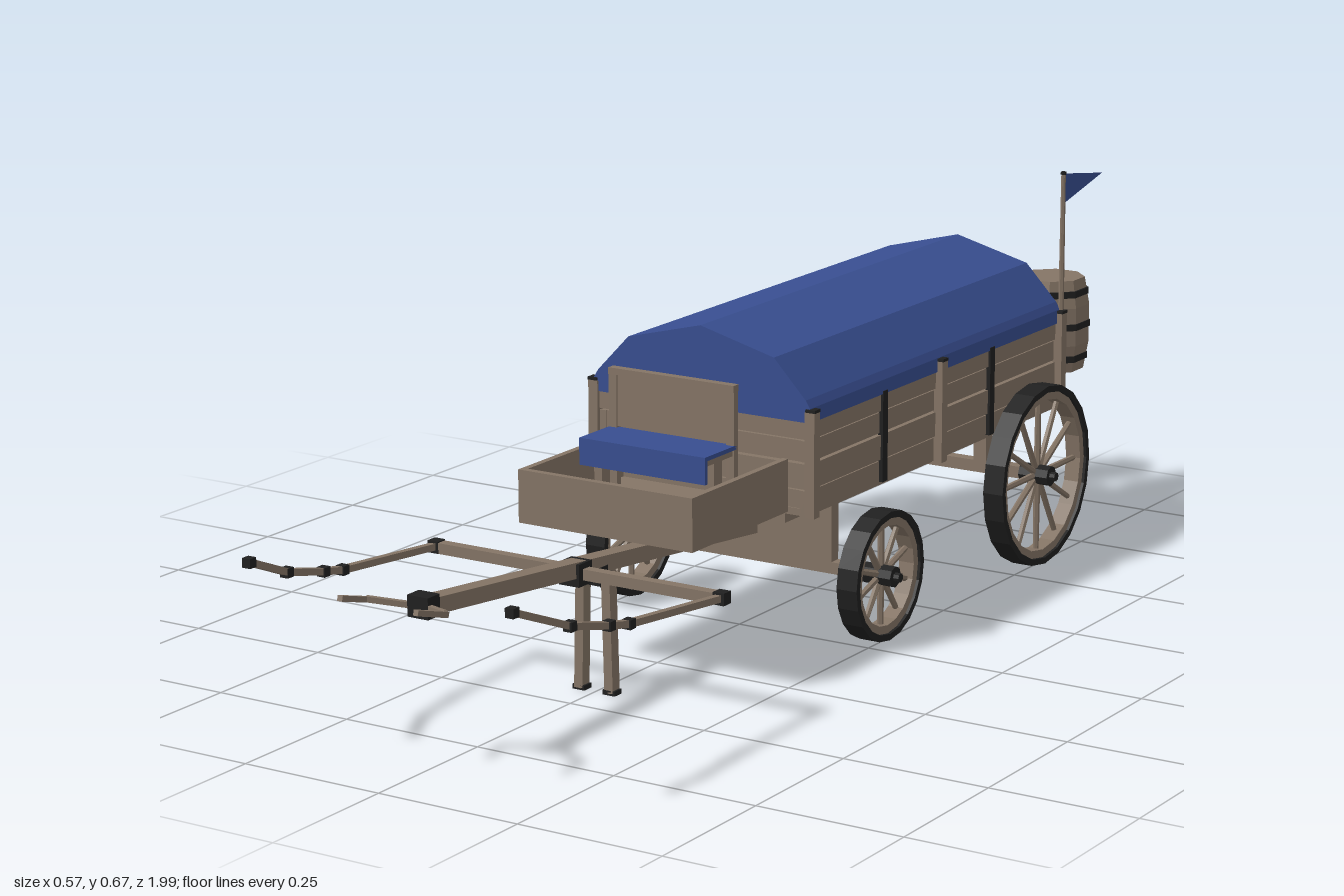
import * as THREE from 'three';

const material = (name, color) => {
  const m = new THREE.MeshStandardMaterial({ color });
  m.name = name;
  return m;
};

export function createModel() {
  const wood = material('wood', 0x857566);
  const iron = material('iron', 0x202020);
  const cloth = material('blue cloth', 0x384e90);
  const flagCloth = material('flag cloth', 0x384e90);
  flagCloth.side = THREE.DoubleSide;

  const model = new THREE.Group();
  model.name = 'wagon';
  const V = (x, y, z) => new THREE.Vector3(x, y, z);

  const group = (name, parent = model) => {
    const g = new THREE.Group();
    g.name = name;
    parent.add(g);
    return g;
  };
  // Faceted mesh
  const add = (parent, name, geometry, mat) => {
    const geo = geometry.index ? geometry.toNonIndexed() : geometry;
    geo.computeVertexNormals();
    const mesh = new THREE.Mesh(geo, mat);
    mesh.name = name;
    parent.add(mesh);
    return mesh;
  };
  // Box given by its limits on each axis
  const box = (parent, name, mat, [x0, x1], [y0, y1], [z0, z1]) => {
    const mesh = add(parent, name, new THREE.BoxGeometry(x1 - x0, y1 - y0, z1 - z0), mat);
    mesh.position.set((x0 + x1) / 2, (y0 + y1) / 2, (z0 + z1) / 2);
    return mesh;
  };
  const block = (parent, name, mat, p, w, h, d) => {
    const mesh = add(parent, name, new THREE.BoxGeometry(w, h, d), mat);
    mesh.position.copy(p);
    return mesh;
  };
  // Square beam between two points
  const beam = (parent, name, mat, a, b, w, h = w) => {
    const mesh = add(parent, name, new THREE.BoxGeometry(w, h, a.distanceTo(b)), mat);
    mesh.position.copy(a).lerp(b, 0.5);
    mesh.lookAt(b);
    return mesh;
  };
  // Ring with a rectangular section, turned about y
  const ring = (ri, ro, h, n) => new THREE.LatheGeometry(
    [[ri, -h], [ro, -h], [ro, h], [ri, h], [ri, -h]].map(p => new THREE.Vector2(...p)), n);
  const sides = [-1, 1];
  const span = (s, a, b) => (s > 0 ? [a, b] : [-b, -a]);

  // Wagon bed: floor, planked walls, posts and straps
  const bed = group('bed');
  box(bed, 'floor', wood, [-0.2, 0.2], [0.243, 0.255], [-0.73, 0.115]);
  for (const [y0, y1, t] of [[0.245, 0.285, 0], [0.288, 0.33, 0.003], [0.333, 0.368, 0], [0.371, 0.408, 0.003]]) {
    for (const s of sides) box(bed, 'sidePlank', wood, span(s, 0.188, 0.202 + t), [y0, y1], [-0.73, 0.115]);
    box(bed, 'frontPlank', wood, [-0.2, 0.2], [y0, y1], [0.1, 0.113 + t]);
    box(bed, 'rearPlank', wood, [-0.2, 0.2], [y0, y1], [-0.728 - t, -0.715]);
  }
  for (const s of sides) {
    for (const z of [0.113, -0.303, -0.73]) {
      box(bed, 'post', wood, span(s, 0.2, 0.218), [0.243, 0.418], [z - 0.009, z + 0.009]);
      box(bed, 'postCap', iron, span(s, 0.201, 0.219), [0.418, 0.423], [z - 0.009, z + 0.009]);
    }
    for (const z of [-0.12, -0.485])
      box(bed, 'strap', iron, span(s, 0.2, 0.209), [0.25, 0.405], [z - 0.008, z + 0.008]);
    box(bed, 'sill', wood, span(s, 0.125, 0.15), [0.222, 0.245], [-0.72, 0.1]);
  }

  // Canvas cover
  const half = [[0.208, 0.4], [0.208, 0.424], [0.2, 0.437], [0.14, 0.5]];
  const outline = [...half, [0, 0.536], ...half.map(([x, y]) => [-x, y]).reverse()];
  const cover = add(model, 'canvasCover', new THREE.ExtrudeGeometry(
    new THREE.Shape(outline.map(p => new THREE.Vector2(...p))), { depth: 0.85, bevelEnabled: false }), cloth);
  cover.position.z = -0.731;

  // Driver's box and bench
  const driver = group('driverBox');
  box(driver, 'footboard', wood, [-0.162, 0.162], [0.247, 0.26], [0.115, 0.395]);
  box(driver, 'frontBoard', wood, [-0.165, 0.165], [0.247, 0.335], [0.388, 0.4]);
  for (const s of sides) {
    box(driver, 'sideBoard', wood, span(s, 0.154, 0.165), [0.247, 0.335], [0.115, 0.39]);
    box(driver, 'benchLeg', wood, span(s, 0.1, 0.115), [0.26, 0.36], [0.235, 0.258]);
    box(driver, 'backrestPost', wood, span(s, 0.105, 0.12), [0.26, 0.468], [0.195, 0.207]);
  }
  box(driver, 'bench', wood, [-0.117, 0.117], [0.353, 0.363], [0.2, 0.285]);
  box(driver, 'seatCloth', cloth, [-0.12, 0.12], [0.363, 0.37], [0.2, 0.293]);
  box(driver, 'seatFlap', cloth, [-0.12, 0.12], [0.325, 0.365], [0.286, 0.293]);
  box(driver, 'backrest', wood, [-0.107, 0.107], [0.372, 0.462], [0.195, 0.204]);
  box(driver, 'backrestRail', wood, [-0.12, 0.12], [0.458, 0.469], [0.193, 0.208]);

  // Running gear
  const gear = group('runningGear');
  box(gear, 'bolster', wood, [-0.158, 0.158], [0.105, 0.245], [-0.056, -0.034]);
  box(gear, 'frontAxle', wood, [-0.225, 0.225], [0.104, 0.124], [-0.056, -0.034]);
  box(gear, 'rearAxle', wood, [-0.225, 0.225], [0.152, 0.173], [-0.596, -0.574]);
  for (const s of sides) box(gear, 'axleBlock', wood, span(s, 0.125, 0.15), [0.17, 0.225], [-0.596, -0.574]);

  // Wheels
  const wheel = (name, s, y, z, r, spokes) => {
    const w = group(name);
    w.position.set(s * 0.246, y, z);
    w.rotation.z = -s * Math.PI / 2;
    add(w, 'tyre', ring(r - 0.011, r, 0.019, 20), iron);
    add(w, 'rim', ring(r - 0.025, r - 0.01, 0.014, 20), wood);
    add(w, 'hub', new THREE.CylinderGeometry(0.018, 0.018, 0.056, 8), iron);
    const cap = add(w, 'hubCap', new THREE.CylinderGeometry(0.008, 0.008, 0.012, 8), iron);
    cap.position.y = 0.032;
    for (let i = 0; i < spokes; i++) {
      const a = i / spokes * Math.PI * 2;
      const d = V(Math.cos(a), 0, Math.sin(a));
      const spoke = add(w, 'spoke', new THREE.CylinderGeometry(0.005, 0.006, r - 0.03, 6), wood);
      spoke.position.copy(d).multiplyScalar(r / 2);
      spoke.quaternion.setFromUnitVectors(V(0, 1, 0), d);
    }
  };
  for (const s of sides) {
    wheel('frontWheel', s, 0.114, -0.045, 0.11, 10);
    wheel('rearWheel', s, 0.162, -0.585, 0.16, 12);
  }

  // Draught pole with its forked tip
  const hitch = group('hitch');
  beam(hitch, 'draughtPole', wood, V(0, 0.165, -0.04), V(0, 0.258, 0.885), 0.028, 0.026);
  block(hitch, 'poleTip', iron, V(0, 0.259, 0.88), 0.038, 0.034, 0.03);
  block(hitch, 'crossbarClamp', iron, V(0, 0.211, 0.482), 0.038, 0.037, 0.036);
  block(hitch, 'legBracket', iron, V(0, 0.193, 0.425), 0.03, 0.03, 0.024);
  beam(hitch, 'crossbar', wood, V(-0.27, 0.211, 0.48), V(0.27, 0.211, 0.48), 0.018);
  for (const s of sides) {
    beam(hitch, 'prop', wood, V(s * 0.029, 0.003, 0.425), V(s * 0.024, 0.2, 0.425), 0.02, 0.016);
    block(hitch, 'propFoot', iron, V(s * 0.029, 0.004, 0.425), 0.023, 0.008, 0.02);
    beam(hitch, 'forkArm', wood, V(s * 0.012, 0.258, 0.885), V(s * 0.072, 0.269, 0.925), 0.009);
    beam(hitch, 'forkTine', wood, V(s * 0.073, 0.267, 0.922), V(s * 0.069, 0.287, 0.992), 0.009);

    // Side shafts with iron joints
    const path = [[0.27, 0.212, 0.48], [0.266, 0.235, 0.73], [0.264, 0.245, 0.78], [0.26, 0.268, 0.875], [0.239, 0.315, 0.99]]
      .map(([x, y, z]) => V(s * x, y, z));
    path.forEach((p, i) => {
      const d = i ? 0.015 : 0.02;
      block(hitch, 'shaftJoint', iron, p, d, d, d);
      if (i) beam(hitch, 'shaft', wood, path[i - 1], p, 0.011);
    });
  }

  // Barrels
  for (const s of sides) {
    const barrel = group('barrel');
    barrel.position.set(s * 0.087, 0.349, -0.932);
    barrel.rotation.y = Math.PI / 8;
    const profile = [[0, -0.085], [0.058, -0.085], [0.067, -0.035], [0.067, 0.035], [0.058, 0.085], [0, 0.085]];
    add(barrel, 'staves', new THREE.LatheGeometry(profile.map(p => new THREE.Vector2(...p)), 8), wood);
    for (const [y, r] of [[-0.06, 0.065], [0, 0.069], [0.06, 0.065]])
      add(barrel, 'hoop', ring(r - 0.008, r, 0.006, 8), iron).position.y = y;
  }

  // Flag on its pole
  const flag = group('flag');
  add(flag, 'flagPole', new THREE.CylinderGeometry(0.004, 0.005, 0.25, 6), wood).position.set(0.209, 0.543, -0.733);
  add(flag, 'flagPoleCap', new THREE.CylinderGeometry(0.005, 0.005, 0.005, 6), iron).position.set(0.209, 0.668, -0.733);
  const pennant = add(flag, 'pennant', new THREE.ShapeGeometry(new THREE.Shape(
    [[0, 0.613], [0.145, 0.645], [0, 0.667]].map(p => new THREE.Vector2(...p)))), flagCloth);
  pennant.rotation.y = Math.PI / 2;
  pennant.position.set(0.209, 0, -0.735);

  return model;
}
